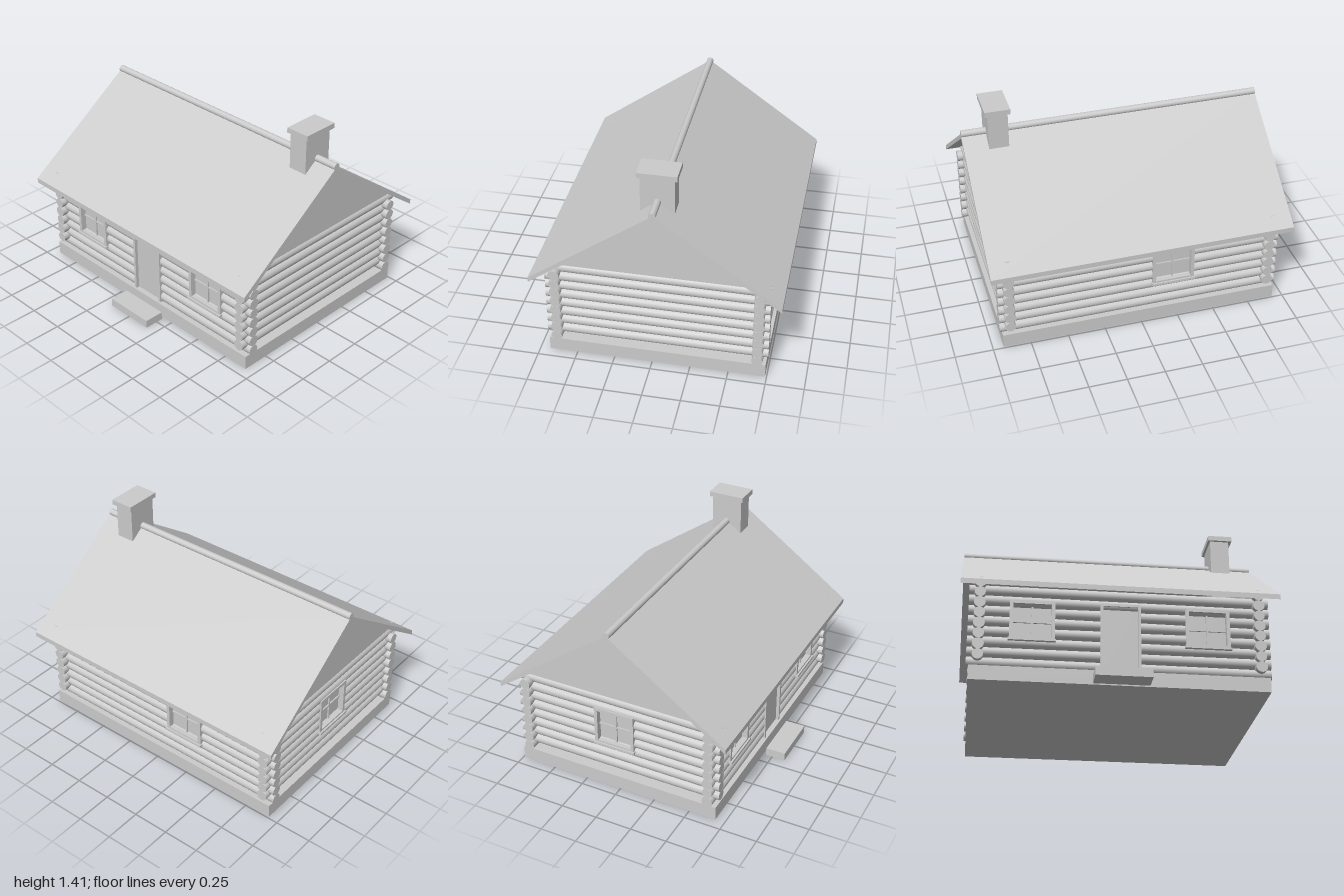
import * as THREE from 'three';

const MAT = new THREE.MeshStandardMaterial({ color: 0xcccccc });
const MID_Z = -0.0275; // centre line of the house
const ROWS = 8, PITCH = 0.07;

function add(parent, name, geometry, x = 0, y = 0, z = 0) {
  const mesh = new THREE.Mesh(geometry, MAT);
  mesh.name = name;
  mesh.position.set(x, y, z);
  parent.add(mesh);
  return mesh;
}

// Box given by its limits on each axis
function box(parent, name, [x0, x1], [y0, y1], [z0, z1]) {
  return add(parent, name, new THREE.BoxGeometry(x1 - x0, y1 - y0, z1 - z0),
    (x0 + x1) / 2, (y0 + y1) / 2, (z0 + z1) / 2);
}

// Stack of slightly tapered logs along local x, cut where an opening crosses a row
function logWall(name, half, firstY, openings) {
  const wall = new THREE.Group();
  wall.name = name;
  for (let i = 0; i < ROWS; i++) {
    const y = firstY + i * PITCH;
    const taper = (i % 2 ? 1 : -1) * 0.001;
    let start = -half;
    const cuts = openings.filter(o => y > o.y0 && y < o.y1).sort((a, b) => a.x - b.x);
    for (const end of [...cuts, null]) {
      const stop = end ? end.x - end.w / 2 : half;
      const log = new THREE.CylinderGeometry(0.0355 + taper, 0.0355 - taper, stop - start, 18);
      log.rotateZ(-Math.PI / 2);
      add(wall, 'log', log, (start + stop) / 2, y, 0);
      if (end) start = end.x + end.w / 2;
    }
  }
  return wall;
}

// Rectangular frame with a hole, extruded along z
function frameGeometry(w, h, t, depth) {
  const rect = (C, a, b) => {
    const p = new C();
    p.moveTo(-a, -b); p.lineTo(a, -b); p.lineTo(a, b); p.lineTo(-a, b); p.closePath();
    return p;
  };
  const shape = rect(THREE.Shape, w / 2, h / 2);
  shape.holes.push(rect(THREE.Path, w / 2 - t, h / 2 - t));
  return new THREE.ExtrudeGeometry(shape, { depth, bevelEnabled: false }).translate(0, 0, -depth / 2);
}

// Four-pane window centred on the wall's axis
function makeWindow(o) {
  const g = new THREE.Group();
  g.name = 'window';
  const w = o.w, h = o.y1 - o.y0;
  add(g, 'windowFrame', frameGeometry(w, h, 0.022, 0.088));
  box(g, 'glass', [-w / 2 + 0.02, w / 2 - 0.02], [-h / 2 + 0.02, h / 2 - 0.02], [-0.005, 0.005]);
  box(g, 'verticalBar', [-0.006, 0.006], [-h / 2 + 0.02, h / 2 - 0.02], [-0.015, 0.015]);
  box(g, 'crossBar', [-w / 2 + 0.02, w / 2 - 0.02], [-0.006, 0.006], [-0.0145, 0.0145]);
  box(g, 'sill', [-w / 2 - 0.007, w / 2 + 0.007], [-h / 2 - 0.006, -h / 2 + 0.01], [0, 0.056]);
  g.position.set(o.x, (o.y0 + o.y1) / 2, 0);
  return g;
}

export function createModel() {
  const house = new THREE.Group();
  house.name = 'logCabin';

  // Base and step
  box(house, 'foundation', [-0.93, 0.93], [0, 0.095], [-0.74, 0.685]);
  box(house, 'floor', [-0.84, 0.84], [0.095, 0.102], [-0.65, 0.6]);
  box(house, 'doorStep', [-0.175, 0.175], [0, 0.055], [0.705, 0.84]);

  // Walls with their openings, each facing local +z
  const win = (x, y0 = 0.28) => ({ x, w: 0.282, y0, y1: y0 + 0.27, window: true });
  const door = { x: 0, w: 0.25, y0: 0.095, y1: 0.55 };
  const walls = [
    ['frontWall', 0.945, 0.13, [win(-0.55), door, win(0.55)], [0, 0.63], 0],
    ['backWall', 0.945, 0.13, [win(0.22)], [0, -0.685], Math.PI],
    ['leftWall', 0.725, 0.165, [], [0.877, MID_Z], Math.PI / 2],
    ['rightWall', 0.725, 0.165, [win(-0.015, 0.315)], [-0.877, MID_Z], -Math.PI / 2],
  ];
  for (const [name, half, firstY, openings, [x, z], turn] of walls) {
    const wall = logWall(name, half, firstY, openings);
    openings.filter(o => o.window).forEach(o => wall.add(makeWindow(o)));
    wall.position.set(x, 0, z);
    wall.rotation.y = turn;
    house.add(wall);
  }

  // Door and its frame
  const doorway = new THREE.Group();
  doorway.name = 'doorway';
  box(doorway, 'door', [-0.11, 0.11], [0.097, 0.54], [0.62, 0.65]);
  for (const s of [-1, 1]) {
    box(doorway, 'doorPost', [s * 0.1185 - 0.0085, s * 0.1185 + 0.0085], [0.095, 0.555], [0.588, 0.672]);
  }
  box(doorway, 'doorLintel', [-0.11, 0.11], [0.538, 0.555], [0.588, 0.672]);
  house.add(doorway);

  // Profile in the z-y plane, extruded along x
  const profile = (points, x0, x1) => {
    const shape = new THREE.Shape(points.map(([z, y]) => new THREE.Vector2(-z, y)));
    return new THREE.ExtrudeGeometry(shape, { depth: x1 - x0, bevelEnabled: false })
      .rotateY(Math.PI / 2).translate(x0, 0, MID_Z);
  };

  // Roof, ridge log and gables
  const roof = [[-0.805, 0.63], [-0.805, 0.595], [0, 1.17], [0.805, 0.595], [0.805, 0.63], [0, 1.205]];
  add(house, 'roof', profile(roof, -1, 1));
  add(house, 'ridgeLog', new THREE.CylinderGeometry(0.023, 0.023, 2, 20).rotateZ(Math.PI / 2), 0, 1.205, MID_Z);
  const gable = [[-0.69, 0.677], [0.69, 0.677], [0, 1.172]];
  for (const s of [-1, 1]) {
    add(house, 'gable', profile(gable, s * 0.88 - 0.02, s * 0.88 + 0.02));
  }

  // Chimney with hearth inside
  box(house, 'hearth', [0.62, 0.84], [0.1, 0.13], [-0.225, 0.17]);
  box(house, 'chimney', [0.71, 0.84], [0.1, 1.38], [-0.135, 0.08]);
  box(house, 'chimneyCap', [0.695, 0.86], [1.375, 1.41], [-0.155, 0.097]);

  return house;
}
